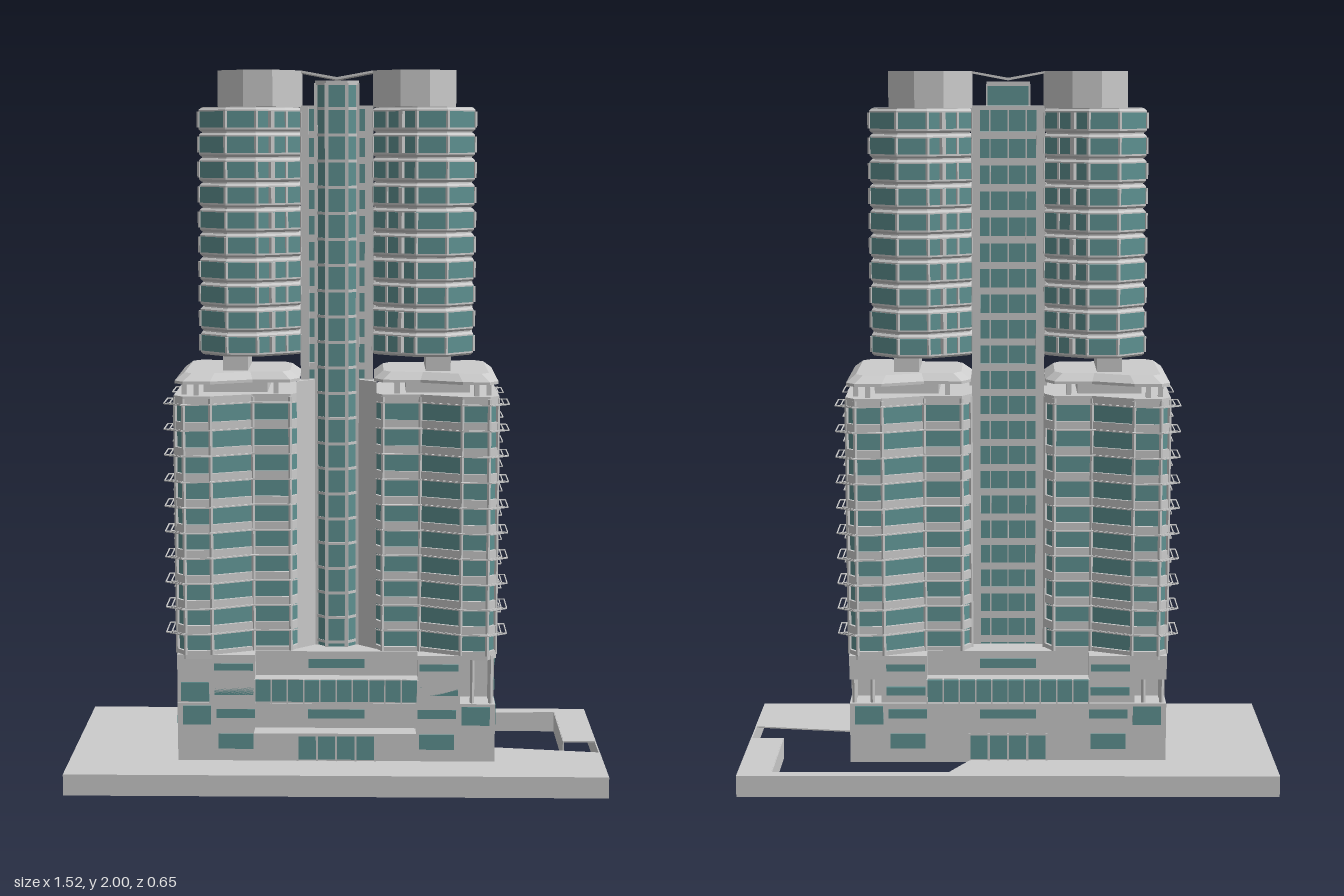
import * as THREE from 'three';
import { mergeGeometries } from 'three/addons/utils/BufferGeometryUtils.js';

const grey = new THREE.MeshStandardMaterial({ color: 0xcccccc, side: THREE.DoubleSide, flatShading: true });
const glass = new THREE.MeshStandardMaterial({ color: 0x5f9292, side: THREE.DoubleSide, flatShading: true });

// Plan outline [x, z] extruded upward from y0 to y1, with an optional chamfer
function prism(pts, y0, y1, bevel = 0) {
  const shape = new THREE.Shape(pts.map(([x, z]) => new THREE.Vector2(x, -z)));
  const g = new THREE.ExtrudeGeometry(shape, {
    depth: y1 - y0 - 2 * bevel, bevelEnabled: bevel > 0, bevelThickness: bevel,
    bevelSize: bevel, bevelOffset: -bevel, bevelSegments: 1,
  });
  return g.rotateX(-Math.PI / 2).translate(0, y0 + bevel, 0);
}

// Prism whose top face shrinks by k toward the point (cx, 0)
function hipped(pts, y0, y1, cx, k) {
  const g = prism(pts, y0, y1), p = g.attributes.position;
  for (let i = 0; i < p.count; i++) {
    if (p.getY(i) < (y0 + y1) / 2) continue;
    p.setX(i, cx + (p.getX(i) - cx) * k);
    p.setZ(i, p.getZ(i) * k);
  }
  g.computeVertexNormals();
  return g;
}

function box(x0, x1, y0, y1, z0, z1) {
  return new THREE.BoxGeometry(x1 - x0, y1 - y0, z1 - z0)
    .translate((x0 + x1) / 2, (y0 + y1) / 2, (z0 + z1) / 2);
}

function post(x, z, y0, y1, r) {
  return new THREE.CylinderGeometry(r, r, y1 - y0, 6).translate(x, (y0 + y1) / 2, z);
}

// Horizontal bar between two plan points
function bar(a, b, y, t) {
  const dx = b[0] - a[0], dz = b[1] - a[1];
  return new THREE.BoxGeometry(Math.hypot(dx, dz), t, t)
    .rotateY(-Math.atan2(dz, dx)).translate((a[0] + b[0]) / 2, y, (a[1] + b[1]) / 2);
}

// Close a front half outline by mirroring it in z; side = -1 flips it in x
function lobe(half, side) {
  const full = [...half, ...half.map(([x, z]) => [x, -z]).reverse()];
  return full.map(([x, z]) => [x * side, z]);
}

// Move every outline corner outward by d
function offset(pts, d) {
  const n = pts.length;
  const area = pts.reduce((s, p, i) => s + p[0] * pts[(i + 1) % n][1] - pts[(i + 1) % n][0] * p[1], 0);
  const s = Math.sign(area) * d;
  const normal = (a, b) => {
    const l = Math.hypot(b[0] - a[0], b[1] - a[1]);
    return [(b[1] - a[1]) / l, -(b[0] - a[0]) / l];
  };
  return pts.map((p, i) => {
    const a = normal(pts[(i + n - 1) % n], p), b = normal(p, pts[(i + 1) % n]);
    const k = s / (1 + a[0] * b[0] + a[1] * b[1]);
    return [p[0] + (a[0] + b[0]) * k, p[1] + (a[1] + b[1]) * k];
  });
}

export function createModel() {
  const model = new THREE.Group();
  const add = (name, geos, mat = grey) => {
    const list = [].concat(geos).map((g) => (g.index ? g.toNonIndexed() : g));
    const mesh = new THREE.Mesh(mergeGeometries(list), mat);
    mesh.name = name;
    model.add(mesh);
  };

  // Site deck: a thin sheet with a cut-out ramp yard, on a hollow perimeter wall
  add('siteDeck', prism([[-0.76, -0.325], [0.76, -0.325], [0.76, 0], [0.665, 0], [0.665, -0.29], [0.165, -0.29],
    [0.11, -0.195], [0.11, -0.15], [0.44, -0.15], [0.44, 0.06], [0.76, 0.105], [0.76, 0.325], [-0.76, 0.325]], 0.057, 0.061));
  add('siteWall', [box(-0.76, 0.76, 0, 0.06, 0.321, 0.325), box(-0.76, 0.76, 0, 0.06, -0.325, -0.321),
    box(-0.76, -0.756, 0, 0.06, -0.325, 0.325), box(0.756, 0.76, 0, 0.06, -0.325, 0.325),
    box(0.165, 0.665, 0, 0.06, -0.292, -0.288), box(0.663, 0.667, 0, 0.06, -0.29, 0)]);

  // Podium: solid base, terrace level open at three corners, top band set back in the middle
  add('podiumBase', [box(-0.45, 0.45, 0.055, 0.15, -0.193, 0.193), box(-0.45, 0.45, 0.15, 0.23, -0.195, 0.195)]);
  add('podiumTerraceLevel', prism([[-0.45, 0.193], [0.35, 0.193], [0.35, 0.12], [0.45, 0.12], [0.45, -0.12],
    [0.36, -0.12], [0.36, -0.185], [-0.36, -0.185], [-0.36, -0.12], [-0.45, -0.12]], 0.23, 0.3));
  add('podiumTop', prism([[-0.45, 0.193], [-0.23, 0.193], [-0.23, 0.15], [0.23, 0.15], [0.23, 0.193], [0.35, 0.193], [0.35, 0.13],
    [0.45, 0.13], [0.45, -0.193], [0.23, -0.193], [0.23, -0.147], [-0.23, -0.147], [-0.23, -0.193], [-0.45, -0.193]], 0.3, 0.37));
  const columns = [], podiumGlass = [];
  for (const [sx, sz] of [[1, 1], [1, -1], [-1, -1]])
    for (const [x, z] of [[0.437, 0.18], [0.385, 0.18], [0.437, 0.135]])
      columns.push(post(sx * x, sz * z, 0.23, 0.37, 0.007));
  for (const sx of [-1, 1]) for (const sz of [-1, 1]) {
    // Window strips [centre x, y, face z, half width, half height]
    for (const [x, y, z, w, h] of [[0.285, 0.118, 0.193, 0.05, 0.022], [0.285, 0.2, 0.195, 0.055, 0.013],
      [0.395, 0.195, 0.195, 0.04, 0.027], [0.29, 0.265, 0.19, 0.055, 0.012], [0.29, 0.335, 0.193, 0.055, 0.01]])
      podiumGlass.push(box(sx * x - w, sx * x + w, y - h, y + h, sz * z - 0.003, sz * z + 0.003));
    const face = (y0, y1, z0, z1) => podiumGlass.push(box(sx * 0.45 - 0.002, sx * 0.45 + 0.002, y0, y1, Math.min(z0, z1), Math.max(z0, z1)));
    if (sz > 0) {
      face(0.168, 0.225, 0.07, 0.185);
      face(0.25, 0.28, 0.07, 0.118);
    }
    face(0.325, 0.348, sz * 0.02, sz * 0.125);
  }
  podiumGlass.push(box(-0.44, -0.36, 0.235, 0.29, 0.19, 0.196));
  for (const s of [-1, 1]) {
    podiumGlass.push(box(-0.11, 0.11, 0.065, 0.135, s * 0.193 - 0.002, s * 0.193 + 0.002));
    for (const x of [-0.11, -0.055, 0, 0.055, 0.11]) columns.push(box(x - 0.003, x + 0.003, 0.06, 0.14, s * 0.193 - 0.004, s * 0.193 + 0.004));
    for (const [y, z] of [[0.2, 0.195], [0.335, 0.149]]) podiumGlass.push(box(-0.08, 0.08, y - 0.013, y + 0.013, s * z - 0.003, s * z + 0.003));
  }
  podiumGlass.push(box(-0.23, 0.23, 0.235, 0.298, -0.196, 0.196));
  for (let i = 0; i <= 10; i++) {
    const x = -0.23 + i * 0.046;
    columns.push(box(x - 0.002, x + 0.002, 0.23, 0.3, -0.198, 0.198));
  }
  add('podiumColumns', columns);
  add('podiumWindows', podiumGlass, glass);

  // Wedge canopy, drawn as [-z, y] and run along x
  const wedge = new THREE.Shape([[-0.18, 0.158], [-0.26, 0.162], [-0.26, 0.154], [-0.195, 0.14], [-0.18, 0.14]].map(([a, y]) => new THREE.Vector2(a, y)));
  add('entranceCanopy', new THREE.ExtrudeGeometry(wedge, { depth: 0.455, bevelEnabled: false }).rotateY(Math.PI / 2).translate(-0.23, 0, 0));

  const lowerHalf = [[0.45, 0.165], [0.425, 0.193], [0.35, 0.19], [0.235, 0.14], [0.13, 0.14], [0.105, 0.1]];
  const upperHalf = [[0.383, 0.08], [0.305, 0.146], [0.22, 0.146], [0.14, 0.1], [0.1, 0.07]];
  const roofHalf = [[0.33, 0.075], [0.255, 0.146], [0.175, 0.146], [0.1, 0.067]];
  const railPath = [[0.45, 0.07], [0.48, 0.07], [0.48, 0.18], [0.43, 0.213], [0.35, 0.208], [0.24, 0.158], [0.13, 0.158], [0.11, 0.14]];
  const innerPath = [[0.465, 0.07], [0.465, 0.173], [0.428, 0.203], [0.35, 0.199], [0.238, 0.149], [0.13, 0.149]];
  const lowStep = 0.0725, upStep = 0.069;

  for (const side of [-1, 1]) {
    const tag = side > 0 ? 'left' : 'right';
    const low = lobe(lowerHalf, side), up = lobe(upperHalf, side);

    // Lower wing: glass body, floor slabs, piers and double-railed sunshades
    add(tag + 'LowerGlass', prism(offset(low, -0.005), 0.37, 1.09), glass);
    const slabs = [], shades = [], piers = [];
    for (let i = 0; i <= 10; i++) {
      const y = 0.37 + i * lowStep;
      slabs.push(prism(offset(low, 0.003), y - 0.012, y + 0.012));
      if (i === 0) continue;
      for (const sz of [-1, 1]) {
        const flip = ([x, z]) => [x * side, z * sz];
        for (const path of [railPath.map(flip), innerPath.map(flip)])
          for (let j = 1; j < path.length; j++) shades.push(bar(path[j - 1], path[j], y - 0.01, 0.003));
        lowerHalf.slice(0, 5).forEach((p, j) => shades.push(bar(flip(p), flip(railPath[j + 2]), y - 0.01, 0.003)));
      }
    }
    for (const [x, z] of low) piers.push(post(x, z, 0.37, 1.1, 0.006));
    for (const z of [-0.06, 0.06]) piers.push(box(side * 0.446 - 0.003, side * 0.446 + 0.003, 0.37, 1.1, z - 0.002, z + 0.002));
    add(tag + 'LowerSlabs', slabs);
    add(tag + 'LowerPiers', piers);
    add(tag + 'Sunshades', shades);

    // Open roof terrace: posts, set-back room, hipped canopy and neck
    const posts = [[0.425, 0.15], [0.39, 0.17], [0.17, 0.12]].flatMap(([x, z]) => [-1, 1].map((sz) =>
      box(side * x - 0.007, side * x + 0.007, 1.1, 1.15, sz * z - 0.007, sz * z + 0.007)));
    add(tag + 'TerracePosts', posts);
    add(tag + 'TerraceRoom', box(side * 0.285 - 0.09, side * 0.285 + 0.09, 1.1, 1.15, -0.1, 0.1));
    add(tag + 'TerraceCanopy', [prism(low, 1.14, 1.148), hipped(low, 1.148, 1.168, side * 0.28, 0.85)]);
    add(tag + 'Neck', box(side * 0.285 - 0.035, side * 0.285 + 0.035, 1.16, 1.22, -0.1, 0.1));

    // Upper wing: lightly chamfered storey bands around a set-back shaft
    const bands = [prism(offset(up, -0.008), 1.215, 1.9)], panes = [], mullions = [];
    for (let i = 0; i < 10; i++) {
      const y = 1.212 + i * upStep;
      bands.push(prism(up, y, y + 0.065, 0.006));
      panes.push(prism(offset(up, 0.002), y + 0.011, y + 0.055));
      for (const [x, z] of up) mullions.push(post(x, z, y + 0.011, y + 0.055, 0.006));
      for (const sz of [-1, 1]) mullions.push(post(side * 0.18, sz * 0.123, y + 0.011, y + 0.055, 0.011));
    }
    add(tag + 'UpperBands', bands);
    add(tag + 'UpperWindows', panes, glass);
    add(tag + 'UpperMullions', mullions);

    // Crown, tall pilasters and splayed panels beside the core
    add(tag + 'Crown', prism(lobe(roofHalf, side), 1.9, 2));
    add(tag + 'Pilasters', [box(side * 0.09 - 0.012, side * 0.09 + 0.012, 0.37, 1.9, -0.075, 0.075),
      prism([[side * 0.062, 0.075], [side * 0.112, 0.12], [side * 0.112, 0.05], [side * 0.062, 0.05]], 0.37, 1.14)]);
  }

  // Central spine joining both wings, with floor lines at the rear
  add('spineGlass', box(-0.1, 0.1, 0.37, 1.9, -0.067, 0.055), glass);
  const lines = [box(-0.1, 0.1, 1.895, 1.905, -0.07, 0.06)];
  for (let i = 0; i < 21; i++) lines.push(box(-0.1, 0.1, 0.375 + i * 0.072, 0.395 + i * 0.072, -0.07, 0.06));
  for (const x of [-0.05, 0, 0.05]) lines.push(box(x - 0.002, x + 0.002, 0.37, 1.9, -0.071, 0.05));
  add('spineFloors', lines);

  // Faceted front lift core
  const coreOutline = [[-0.058, 0.04], [-0.058, 0.07], [-0.028, 0.098], [0.028, 0.098], [0.058, 0.07], [0.058, 0.04]];
  add('coreGlass', prism(coreOutline, 0.37, 1.965), glass);
  const coreBands = [prism(offset(coreOutline, 0.003), 1.96, 1.972)];
  for (let i = 0; i < 22; i++) coreBands.push(prism(offset(coreOutline, 0.002), 0.38 + i * 0.072, 0.388 + i * 0.072));
  for (const [x, z] of coreOutline.slice(1, 5)) coreBands.push(box(x - 0.005, x + 0.005, 0.37, 1.965, z - 0.005, z + 0.005));
  add('coreFrame', coreBands);

  // Shallow V roof bridging the two crowns
  const vee = new THREE.Shape([[-0.1, 2], [0, 1.982], [0.1, 2], [0.1, 1.994], [0, 1.975], [-0.1, 1.994]].map(([x, y]) => new THREE.Vector2(x, y)));
  add('bridgeRoof', new THREE.ExtrudeGeometry(vee, { depth: 0.134, bevelEnabled: false }).translate(0, 0, -0.067));
  return model;
}
